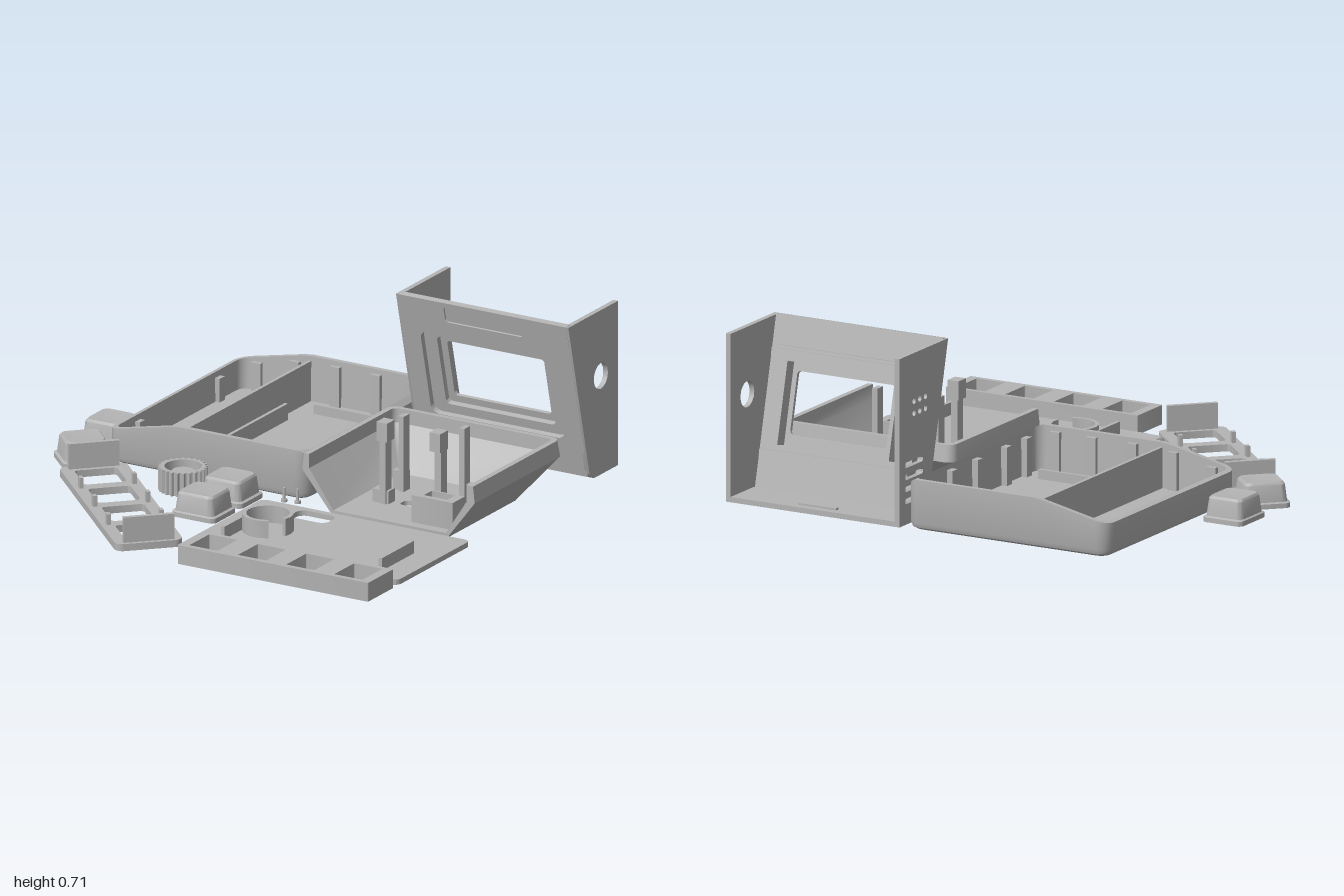
import * as THREE from 'three';
import { toCreasedNormals } from 'three/addons/utils/BufferGeometryUtils.js';

const grey = new THREE.MeshStandardMaterial({ color: 0xb4b4b4, side: THREE.DoubleSide });
grey.name = 'grey plastic';

function add(parent, name, geo, x = 0, y = 0, z = 0) {
  const m = new THREE.Mesh(geo, grey);
  m.name = name;
  m.position.set(x, y, z);
  parent.add(m);
  return m;
}
function group(parent, name, x = 0, y = 0, z = 0) {
  const g = new THREE.Group();
  g.name = name;
  g.position.set(x, y, z);
  parent.add(g);
  return g;
}
// box given by its limits
function block(parent, name, x0, x1, y0, y1, z0, z1) {
  return add(parent, name, new THREE.BoxGeometry(x1 - x0, y1 - y0, z1 - z0), (x0 + x1) / 2, (y0 + y1) / 2, (z0 + z1) / 2);
}
function roundRect(x0, x1, y0, y1, r, T = THREE.Path) {
  const p = new T();
  p.absarc(x1 - r, y1 - r, r, 0, Math.PI / 2);
  p.absarc(x0 + r, y1 - r, r, Math.PI / 2, Math.PI);
  p.absarc(x0 + r, y0 + r, r, Math.PI, Math.PI * 1.5);
  p.absarc(x1 - r, y0 + r, r, Math.PI * 1.5, Math.PI * 2);
  p.closePath();
  return p;
}
const extrude = (shape, depth) =>
  toCreasedNormals(new THREE.ExtrudeGeometry(shape, { depth, bevelEnabled: false, curveSegments: 8 }), 0.6);
// horizontal plate with rounded corners; holes are [x0, x1, z0, z1, r]
function slab(parent, name, x0, x1, z0, z1, r, y, h, holes = []) {
  const s = roundRect(x0, x1, -z1, -z0, r, THREE.Shape);
  holes.forEach(([a, b, c, d, q]) => s.holes.push(roundRect(a, b, -d, -c, q)));
  const m = add(parent, name, extrude(s, h), 0, y, 0);
  m.rotation.x = -Math.PI / 2;
  return m;
}
// surface through rows of points
function skin(rows, closed) {
  const n = rows[0].length, pos = rows.flat(2), idx = [];
  for (let r = 0; r < rows.length - 1; r++)
    for (let i = 0; i < (closed ? n : n - 1); i++) {
      const j = (i + 1) % n, a = r * n + i, b = r * n + j;
      idx.push(a, b, b + n, a, b + n, a + n);
    }
  const g = new THREE.BufferGeometry();
  g.setAttribute('position', new THREE.Float32BufferAttribute(pos, 3));
  g.setIndex(idx);
  return toCreasedNormals(g, 0.6);
}
// rounded rectangular ring at height y (number or function of x)
function ring(x0, x1, z0, z1, r, y, cuts = 1) {
  const corners = [[x1 - r, z0 + r], [x0 + r, z0 + r], [x0 + r, z1 - r], [x1 - r, z1 - r]], pts = [];
  corners.forEach(([cx, cz], k) => {
    for (let i = 0; i <= 6; i++) {
      const t = (k + i / 6) * Math.PI / 2;
      pts.push([cx + r * Math.cos(t), cz - r * Math.sin(t)]);
    }
    const [px, pz] = pts[pts.length - 1], t = (k + 1) * Math.PI / 2, [nx, nz] = corners[(k + 1) % 4];
    const qx = nx + r * Math.cos(t), qz = nz - r * Math.sin(t);
    for (let i = 1; i < cuts; i++) pts.push([px + (qx - px) * i / cuts, pz + (qz - pz) * i / cuts]);
  });
  return pts.map(([x, z]) => [x, typeof y === 'function' ? y(x) : y, z]);
}
const centre = (row, x, y, z) => row.map(() => [x, y, z]);

function buildTray(root) {
  const g = group(root, 'large tray');
  const top = x => x < -0.45 ? 0.14 + 0.07 * (x + 0.78) / 0.33 : 0.21 - 0.03 * Math.max(0, (x - 0.11) / 0.05) ** 2;
  const R = (d, r, y) => ring(-0.78 + d, 0.16 - d, -0.98 + d, 0.055 - d, r, y, 20);
  const base = R(0.025, 0.04, 0), floor = R(0.025, 0.04, 0.02);
  add(g, 'tray shell', skin([centre(base, -0.31, 0, -0.46), base, R(0.008, 0.05, 0.01), R(0, 0.06, 0.03),
    R(0, 0.06, top), R(0.022, 0.045, top), floor, centre(floor, -0.31, 0.02, -0.46)], true));
  block(g, 'tray divider', -0.445, -0.43, 0.01, 0.19, -0.96, 0.035);
  block(g, 'long rib', -0.405, -0.39, 0.01, 0.09, -0.71, -0.21);
  for (const z of [-0.835, -0.09]) block(g, 'cross rib', -0.34, 0.06, 0.01, 0.06, z - 0.008, z + 0.008);
  for (const x of [-0.68, -0.5, -0.31, -0.12, 0.05])
    for (const z of [-0.95, 0.025]) block(g, 'wall clip', x - 0.022, x + 0.022, 0.01, top(x) - 0.02, z - 0.012, z + 0.012);
  for (const z of [-0.77, -0.15]) block(g, 'wall clip', -0.765, -0.735, 0.01, 0.12, z - 0.02, z + 0.02);
  for (const z of [-0.67, -0.47, -0.24, -0.08]) block(g, 'wall clip', 0.11, 0.14, 0.01, 0.18, z - 0.02, z + 0.02);
}

function buildBezel(root) {
  const g = group(root, 'screen housing');
  // side walls: one with a round hole, one with vents
  const wall = (name, x, holes) => {
    const s = new THREE.Shape();
    s.moveTo(-0.977, 0);
    s.lineTo(-0.8, 0);
    s.quadraticCurveTo(-0.765, 0, -0.752, 0.04);
    s.lineTo(-0.59, 0.7);
    s.lineTo(-0.977, 0.7);
    s.closePath();
    s.holes.push(...holes);
    add(g, name, extrude(s, 0.022), x, 0, 0).rotation.y = -Math.PI / 2;
  };
  const disc = (z, y, r) => new THREE.Path().absarc(z, y, r, 0, Math.PI * 2);
  const vents = [];
  for (let i = 0; i < 4; i++) vents.push(roundRect(-0.93, -0.79, 0.085 + i * 0.05, 0.108 + i * 0.05, 0.01));
  for (let i = 0; i < 6; i++) vents.push(disc(-0.86 + (i % 3) * 0.045, 0.45 + Math.floor(i / 3) * 0.05, 0.013));
  wall('right side wall', 0.212, vents);
  wall('left side wall', 1, [disc(-0.843, 0.42, 0.055)]);
  block(g, 'housing floor', 0.2, 0.99, 0, 0.022, -0.977, -0.79);
  block(g, 'floor rib', 0.505, 0.68, 0.02, 0.03, -0.945, -0.925);

  // leaning front with stepped window
  const f = group(g, 'housing front', 0, 0, -0.762);
  f.rotation.x = Math.atan(0.163 / 0.66);
  const c = Math.cos(f.rotation.x);
  const panel = (name, z, depth, outer, holes) => {
    const s = roundRect(...outer, 0.004, THREE.Shape);
    holes.forEach(h => s.holes.push(roundRect(...h)));
    add(f, name, extrude(s, depth), 0, 0, z);
  };
  const recess = [0.28, 0.91, 0.17 / c, 0.55 / c, 0.04], win = [0.37, 0.825, 0.24 / c, 0.49 / c, 0.015];
  panel('front panel', -0.025, 0.025, [0.2, 0.99, 0.012, 0.7 / c], [recess, [0.41, 0.775, 0.612 / c, 0.685 / c, 0.015]]);
  panel('window frame', -0.05, 0.025, [0.25, 0.94, 0.14 / c, 0.58 / c], [[0.34, 0.855, 0.21 / c, 0.52 / c, 0.02]]);
  panel('window lip', -0.065, 0.015, [0.25, 0.94, 0.14 / c, 0.58 / c], [win]);
  panel('touch strip', -0.025, 0.017, [0.4, 0.785, 0.6 / c, 0.695 / c], []);
  for (const x of [0.335, 0.855]) block(f, 'screen bracket', x - 0.009, x + 0.009, 0.2, 0.54, -0.12, -0.06);
  for (const y of [0.15, 0.56]) block(f, 'screen ledge', 0.25, 0.94, y, y + 0.025, -0.095, -0.06);
}

function buildStand(root) {
  const g = group(root, 'sloped base');
  const U = (x0, x1, zb, r, y) => {
    const pts = [[x1, y, 0.138]];
    [[x1 - r, 0], [x0 + r, 1]].forEach(([cx, k]) => {
      for (let i = 0; i <= 5; i++) {
        const t = (k + i / 5) * Math.PI / 2;
        pts.push([cx + r * Math.cos(t), y, zb + r - r * Math.sin(t)]);
      }
    });
    return [...pts, [x0, y, 0.138]];
  };
  const rows = [U(0.33, 0.87, -0.4, 0.01, 0), U(0.19, 1, -0.555, 0.04, 0.17), U(0.198, 0.992, -0.545, 0.04, 0.24),
    U(0.222, 0.968, -0.522, 0.025, 0.24), U(0.222, 0.968, -0.522, 0.025, 0.18), U(0.335, 0.865, -0.39, 0.008, 0.02)];
  add(g, 'sloped walls', skin(rows, false));
  for (const end of [0, rows[0].length - 1]) {
    const p = rows.map(r => r[end]);
    add(g, 'wall end', skin([[p[0], p[1], p[2]], [p[5], p[4], p[3]]], false));
  }
  slab(g, 'base floor', 0.33, 0.87, -0.4, 0.138, 0.004, 0, 0.02,
    [[0.52, 0.665, -0.12, -0.065, 0.02], [0.725, 0.825, 0.01, 0.068, 0.008]]);
  slab(g, 'socket box', 0.675, 0.87, 0, 0.095, 0.004, 0.02, 0.115, [[0.72, 0.83, 0.008, 0.07, 0.005]]);
  // four board posts
  for (const s of [-1, 1]) {
    const X = (a, b) => [0.592 + s * a, 0.592 + s * b].sort((p, q) => p - q);
    block(g, 'front post', ...X(0.115, 0.145), 0.02, 0.33, -0.08, -0.035);
    block(g, 'front post foot', ...X(0.105, 0.18), 0.02, 0.075, -0.09, -0.04);
    block(g, 'front post head', ...X(0.1, 0.15), 0.29, 0.37, -0.08, -0.02);
    block(g, 'rear post', ...X(0.13, 0.155), 0.02, 0.34, -0.245, -0.2);
    block(g, 'rear post foot', ...X(0.13, 0.19), 0.02, 0.1, -0.25, -0.215);
  }
}

function buildBottomPlate(root) {
  const g = group(root, 'bottom plate');
  slab(g, 'plate', 0.02, 1, 0.17, 0.74, 0.03, 0, 0.022, [[0.22, 0.395, 0.2, 0.3, 0.035]]);
  for (const x of [0.137, 0.877]) block(g, 'plate rib', x - 0.008, x + 0.008, 0.02, 0.075, 0.42, 0.67);
  const s = new THREE.Shape();
  s.absarc(0, 0, 0.105, -0.3, Math.PI * 1.68);
  s.absarc(0, 0, 0.088, Math.PI * 1.68, -0.3, true);
  add(g, 'battery ring', extrude(s, 0.073), 0.235, 0.022, 0.48).rotation.x = -Math.PI / 2;
}

function buildKeyHolders(root) {
  // straight switch strip
  const g = group(root, 'switch strip');
  const cells = [0.147, 0.375, 0.602, 0.828];
  slab(g, 'strip frame', 0.105, 1, 0.77, 0.968, 0.004, 0, 0.08, cells.map(x => [x, x + 0.132, 0.79, 0.945, 0.003]));
  for (const x of cells) {
    block(g, 'corner tab', x + 0.105, x + 0.135, 0, 0.06, 0.788, 0.81);
    block(g, 'corner tab', x - 0.003, x + 0.025, 0, 0.06, 0.925, 0.947);
  }
  // diagonal key panel
  const d = group(root, 'key panel', -0.425, 0, 0.53);
  d.rotation.y = -Math.PI / 4;
  slab(d, 'panel plate', -0.485, 0.485, -0.14, 0.14, 0.035, 0, 0.03,
    [-0.343, -0.114, 0.114, 0.343].map(u => [u - 0.088, u + 0.088, -0.088, 0.088, 0.018]));
  for (const u of [-0.46, 0.46]) block(d, 'end wall', u - 0.01, u + 0.01, 0.02, 0.137, -0.105, 0.105);
  for (const u of [-0.228, 0, 0.228])
    for (const v of [-0.11, 0.11]) block(d, 'panel pin', u - 0.014, u + 0.014, 0.02, 0.075, v - 0.008, v + 0.008);
}

function buildLooseParts(root) {
  // key caps
  [[-0.9, -0.175, 0], [-0.873, 0.085, -Math.PI / 4], [-0.12, 0.18, Math.PI / 2], [-0.12, 0.392, Math.PI / 2]].forEach(([x, z, a]) => {
    const R = (w, h, y, r = 0.025) => ring(-w, w, -h, h, r, y);
    const rows = [R(0.092, 0.103, 0), R(0.092, 0.103, 0.02), R(0.085, 0.092, 0.025), R(0.078, 0.084, 0.095), R(0.07, 0.076, 0.105)];
    const geo = skin([centre(rows[0], 0, 0, 0), ...rows, centre(rows[0], 0, 0.1, 0)], true);
    add(root, 'key cap', geo, x, 0, z).rotation.y = a;
  });
  // scalloped knob
  const k = group(root, 'knob', -0.345, 0, 0.18);
  const gear = new THREE.Shape();
  for (let i = 0; i < 96; i++) {
    const t = i / 96 * Math.PI * 2, r = i % 4 < 2 ? 0.1 : 0.09;
    gear[i ? 'lineTo' : 'moveTo'](r * Math.cos(t), r * Math.sin(t));
  }
  add(k, 'knob base', extrude(gear, 0.02)).rotation.x = -Math.PI / 2;
  gear.holes.push(new THREE.Path().absarc(0, 0, 0.076, 0, Math.PI * 2));
  add(k, 'knob rim', extrude(gear, 0.08), 0, 0.02, 0).rotation.x = -Math.PI / 2;
  const dee = new THREE.Shape().absarc(0, 0, 0.046, -0.6, Math.PI * 2 - 1.6);
  dee.closePath();
  add(k, 'knob stem', extrude(dee, 0.06), 0, 0.02, 0).rotation.x = -Math.PI / 2;
  // two small screws
  for (const [x, z] of [[0.08, 0.097], [0.137, 0.087]]) {
    add(root, 'screw head', new THREE.CylinderGeometry(0.013, 0.013, 0.012, 16), x, 0.006, z);
    add(root, 'screw shank', new THREE.CylinderGeometry(0.006, 0.006, 0.05, 12), x, 0.035, z);
  }
}

export function createModel() {
  const root = new THREE.Group();
  root.name = 'enclosure parts';
  [buildTray, buildBezel, buildStand, buildBottomPlate, buildKeyHolders, buildLooseParts].forEach(f => f(root));
  return root;
}
